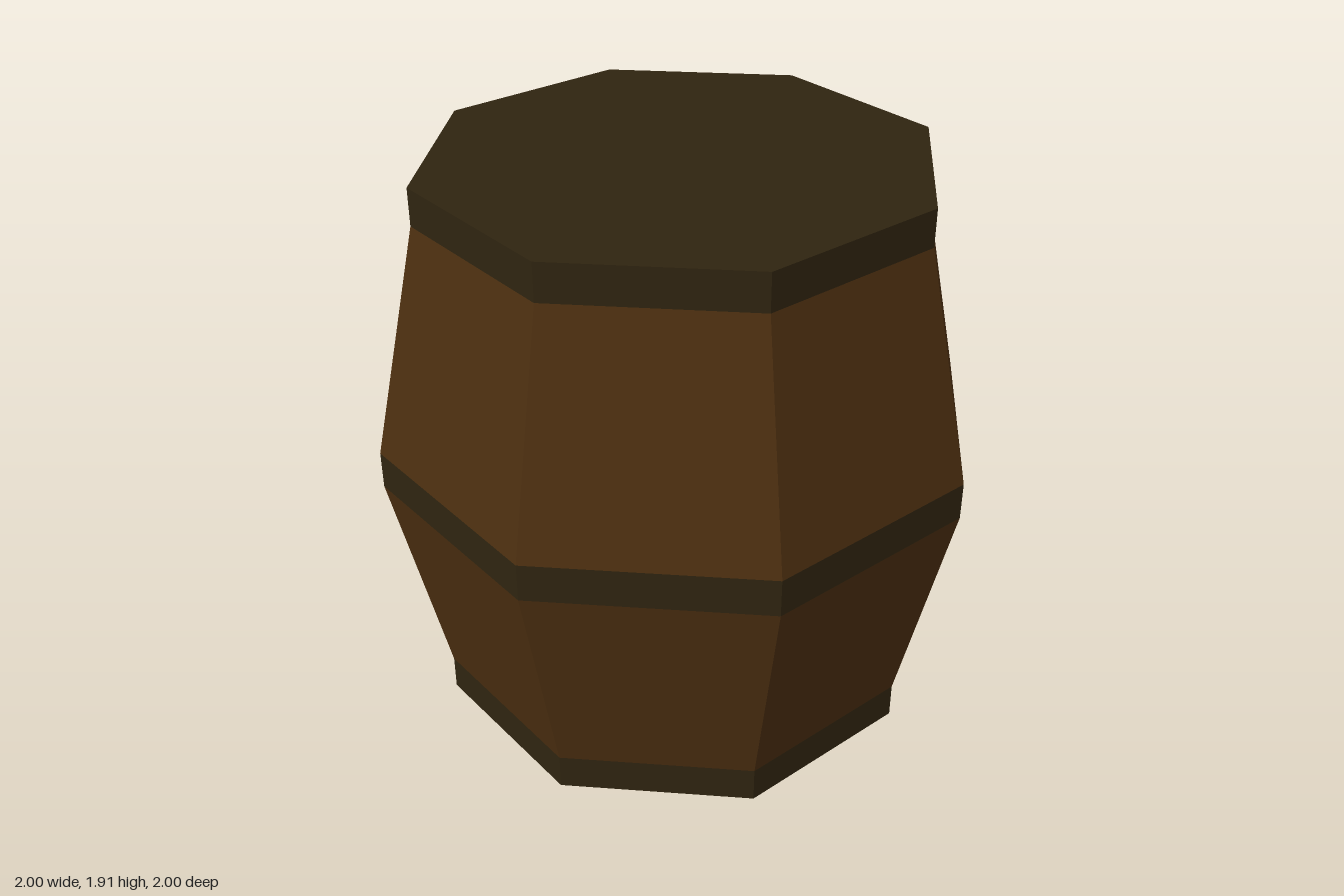
import * as THREE from 'three';

const SIDES = 8;

export function createModel() {
  const wood = new THREE.MeshStandardMaterial({ color: 0x4c2f10, flatShading: true });
  wood.name = 'brown wood';
  const iron = new THREE.MeshStandardMaterial({ color: 0x2f2410, flatShading: true });
  iron.name = 'dark iron';

  const barrel = new THREE.Group();
  barrel.name = 'barrel';

  const END = 0.832, BELLY = 1;

  // One eight-sided ring of the barrel, between two heights
  function ring(name, material, y0, y1, r0, r1, open = true) {
    const geometry = new THREE.CylinderGeometry(r1, r0, y1 - y0, SIDES, 1, open);
    const mesh = new THREE.Mesh(geometry, material);
    mesh.name = name;
    mesh.position.y = (y0 + y1) / 2;
    barrel.add(mesh);
  }

  // End hoops carry the closed bottom and lid
  ring('bottomHoop', iron, 0, 0.123, END, END, false);
  ring('lowerStaves', wood, 0.123, 0.893, END, BELLY);
  ring('middleHoop', iron, 0.893, 1.02, BELLY, BELLY);
  ring('upperStaves', wood, 1.02, 1.79, BELLY, END);
  ring('topHoop', iron, 1.79, 1.913, END, END, false);

  return barrel;
}
